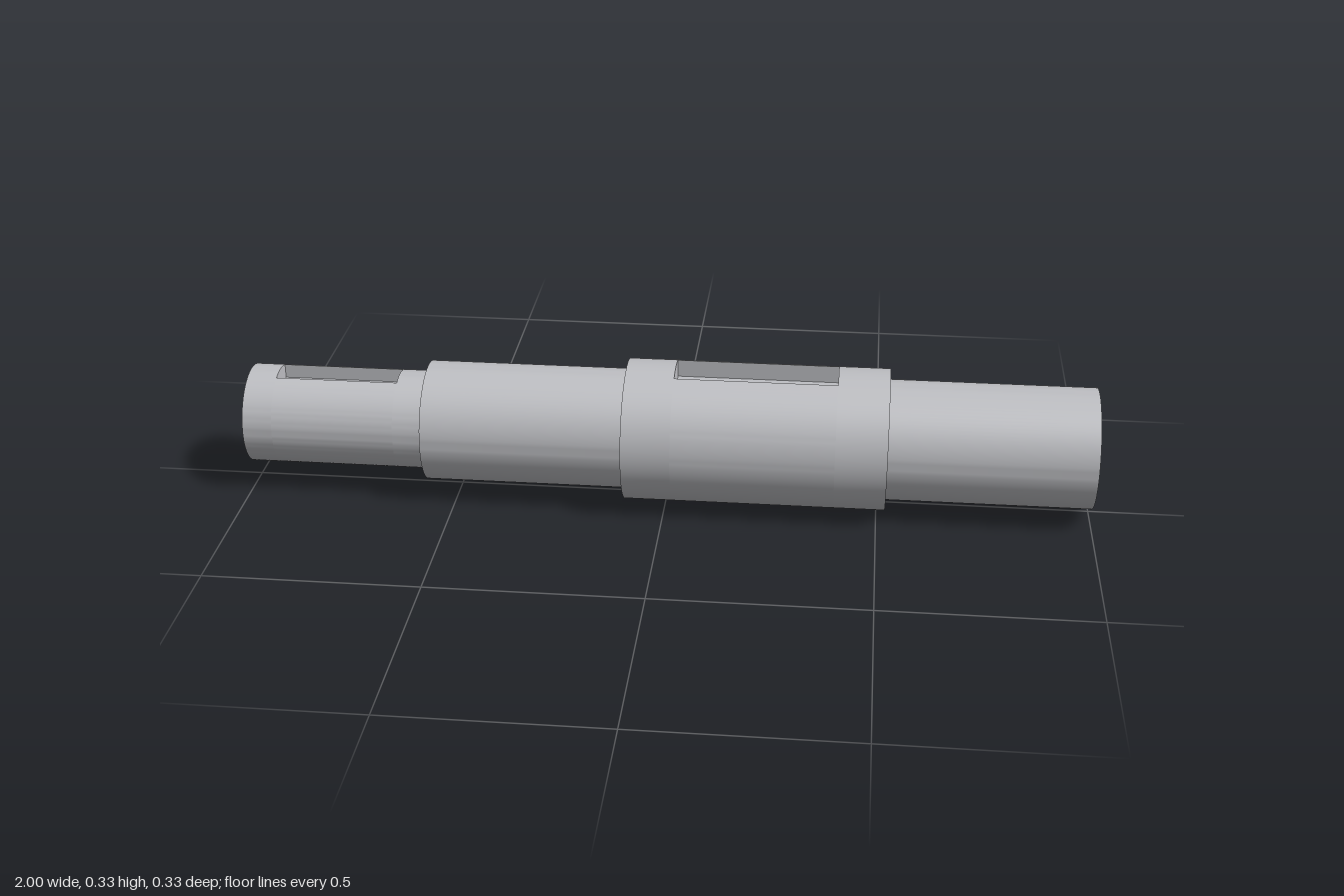
import * as THREE from 'three';
import { toCreasedNormals } from 'three/addons/utils/BufferGeometryUtils.js';

const AXIS = 0.167; // height of the shaft axis

// Round cross-section, optionally with a rectangular keyway cut from the top.
function section(radius, slot) {
  const shape = new THREE.Shape();
  if (!slot) return shape.absarc(0, 0, radius, 0, Math.PI * 2);
  const half = slot.width / 2;
  const a = Math.asin(half / radius);
  shape.absarc(0, 0, radius, Math.PI / 2 + a, Math.PI * 2.5 - a);
  shape.lineTo(half, radius - slot.depth);
  shape.lineTo(-half, radius - slot.depth);
  shape.closePath();
  return shape;
}

export function createModel() {
  const shaft = new THREE.Group();
  shaft.name = 'steppedShaft';
  const steel = new THREE.MeshStandardMaterial({ color: 0xbfc0c4 });
  steel.name = 'steelGrey';

  // One length of shaft between two x positions.
  function addLength(parent, name, x0, x1, radius, slot) {
    const extruded = new THREE.ExtrudeGeometry(section(radius, slot), {
      depth: x1 - x0, bevelEnabled: false, curveSegments: 48,
    });
    extruded.rotateY(Math.PI / 2);
    const mesh = new THREE.Mesh(toCreasedNormals(extruded, Math.PI / 6), steel);
    mesh.name = name;
    mesh.position.set(x0, AXIS, 0);
    parent.add(mesh);
  }

  // Steps from the thin end to the far end; two of them carry a keyway.
  const steps = [
    { name: 'keyedEnd', x0: -1, x1: -0.57, radius: 0.117,
      slot: { x0: -0.93, x1: -0.64, width: 0.076, depth: 0.04 } },
    { name: 'innerJournal', x0: -0.57, x1: -0.095, radius: 0.142 },
    { name: 'keyedCollar', x0: -0.095, x1: 0.52, radius: 0.167,
      slot: { x0: 0.02, x1: 0.4, width: 0.104, depth: 0.05 } },
    { name: 'outerJournal', x0: 0.52, x1: 1, radius: 0.142 },
  ];

  for (const { name, x0, x1, radius, slot } of steps) {
    if (!slot) {
      addLength(shaft, name, x0, x1, radius);
      continue;
    }
    const step = new THREE.Group();
    step.name = name;
    addLength(step, name + 'Start', x0, slot.x0, radius);
    addLength(step, name + 'Keyway', slot.x0, slot.x1, radius, slot);
    addLength(step, name + 'Finish', slot.x1, x1, radius);
    shaft.add(step);
  }
  return shaft;
}
